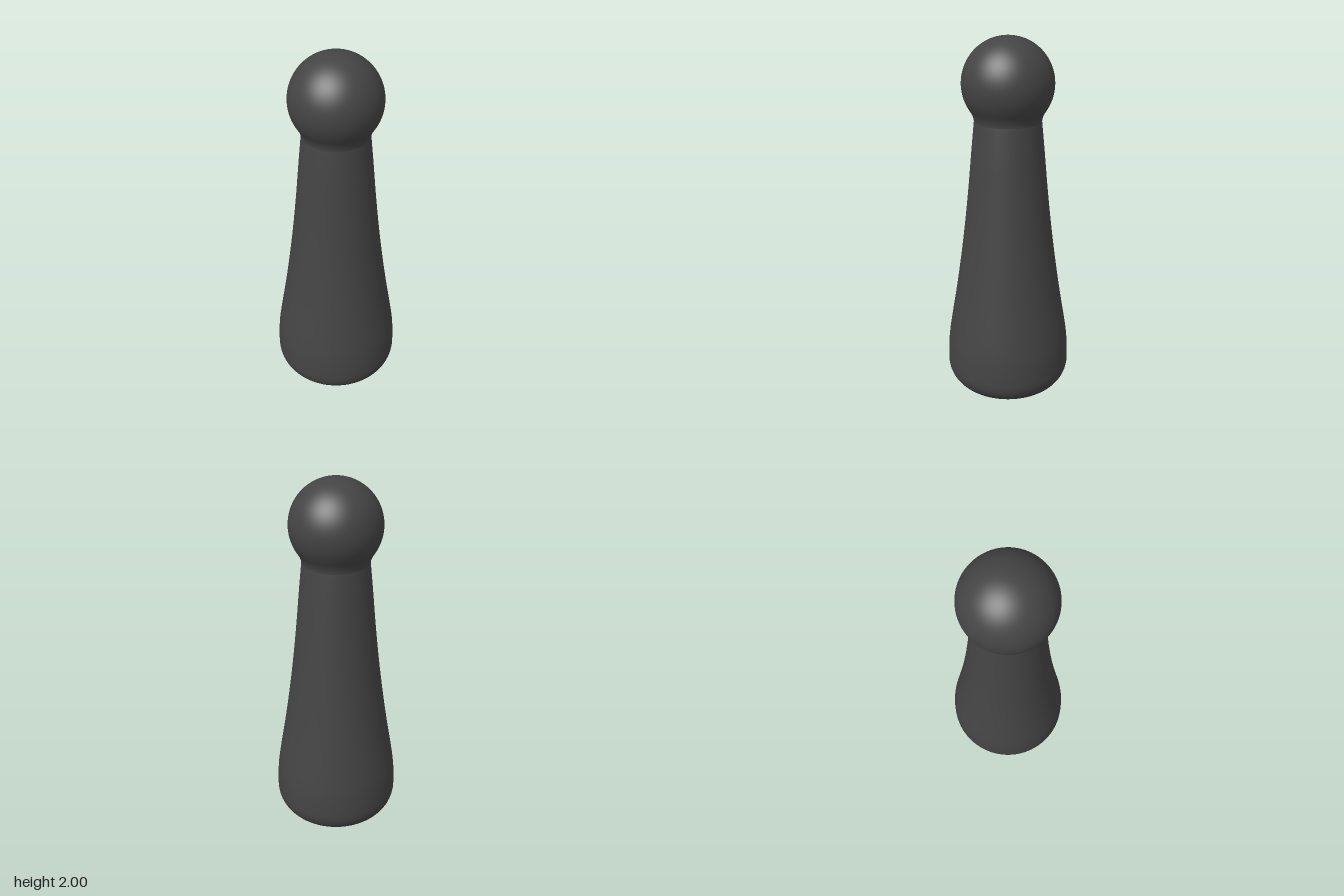
import * as THREE from 'three';

export function createModel() {
  const group = new THREE.Group();
  group.name = 'gamePawn';
  const material = new THREE.MeshStandardMaterial({ color: 0x444444 });

  // Half profile from the flat foot up to the crown of the ball
  const headY = 1.758, headR = 0.242, neckAngle = -0.56;
  const profile = new THREE.Path();
  profile.moveTo(0, 0);
  profile.lineTo(0.2, 0);
  // rounded foot
  profile.bezierCurveTo(0.285, 0.005, 0.349, 0.06, 0.349, 0.15);
  // tapering body
  profile.splineThru([
    [0.347, 0.22], [0.341, 0.3], [0.326, 0.4], [0.292, 0.6], [0.262, 0.8],
    [0.236, 1.0], [0.214, 1.2], [0.195, 1.4], [0.181, 1.54], [0.179, 1.57], [0.188, 1.6],
    [headR * Math.cos(neckAngle), headY + headR * Math.sin(neckAngle)],
  ].map(([x, y]) => new THREE.Vector2(x, y)));
  // ball head
  profile.absarc(0, headY, headR, neckAngle, Math.PI / 2, false);

  const points = profile.getPoints(16);
  points[points.length - 1].set(0, headY + headR);
  const body = new THREE.Mesh(new THREE.LatheGeometry(points, 96), material);
  body.name = 'pawnBody';
  group.add(body);
  return group;
}
